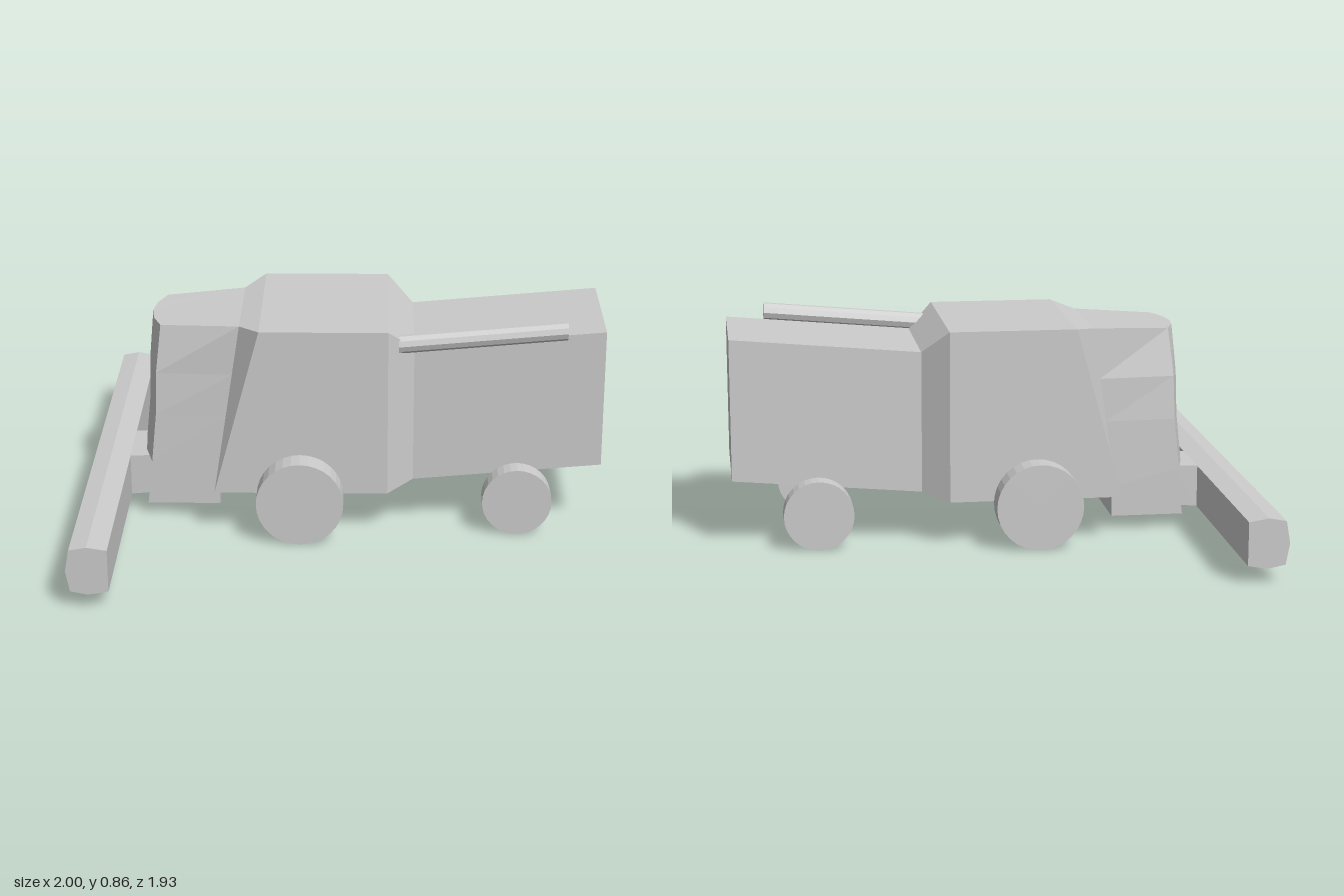
import * as THREE from 'three';

const material = new THREE.MeshStandardMaterial({ color: 0xcccccc, flatShading: true });

function add(group, name, geometry) {
  const mesh = new THREE.Mesh(geometry, material);
  mesh.name = name;
  group.add(mesh);
  return mesh;
}

// Joins closed rings of points with quads and caps both ends.
function loft(rings) {
  const n = rings[0].length;
  const last = (rings.length - 1) * n;
  const index = [];
  for (let r = 0; r < rings.length - 1; r++) {
    for (let j = 0; j < n; j++) {
      const a = r * n + j, b = r * n + (j + 1) % n;
      index.push(a, b, b + n, a, b + n, a + n);
    }
  }
  for (let j = 1; j < n - 1; j++) {
    index.push(0, j + 1, j, last, last + j, last + j + 1);
  }
  const geometry = new THREE.BufferGeometry();
  geometry.setAttribute('position', new THREE.Float32BufferAttribute(rings.flat(2), 3));
  geometry.setIndex(index);
  const flat = geometry.toNonIndexed();
  flat.computeVertexNormals();
  return flat;
}

// Side profile swept across the width, centred on z = 0.
function sweep(points, halfWidth) {
  const shape = new THREE.Shape(points.map(([x, y]) => new THREE.Vector2(x, y)));
  return new THREE.ExtrudeGeometry(shape, { depth: halfWidth * 2, bevelEnabled: false })
    .translate(0, 0, -halfWidth);
}

export function createModel() {
  const group = new THREE.Group();
  group.name = 'combineHarvester';

  // Body: stations from nose to tail [bottom x, bottom y, top x, top y, half width]
  const stations = [
    [-0.495, 0.19, -0.4, 0.82, 0.22],
    [-0.5, 0.175, -0.32, 0.84, 0.335],
    [0.17, 0.175, 0.17, 0.84, 0.335],
    [0.27, 0.2, 0.27, 0.75, 0.25],
    [1, 0.265, 1, 0.815, 0.25],
  ];
  add(group, 'body', loft(stations.map(([bx, by, tx, ty, w]) =>
    [[bx, by, w], [bx, by, -w], [tx, ty, -w], [tx, ty, w]])));

  // Cab: levels [rear x, rear y, corner x, corner y, corner half width, centre x, centre y]
  const levels = [
    [-0.495, 0.19, -0.75, 0.252, 0.215, -0.79, 0.26],
    [-0.455, 0.45, -0.73, 0.45, 0.212, -0.77, 0.45],
    [-0.43, 0.62, -0.725, 0.62, 0.2, -0.765, 0.62],
    [-0.4, 0.82, -0.705, 0.806, 0.17, -0.748, 0.804],
  ];
  add(group, 'cab', loft(levels.map(([rx, ry, kx, ky, w, cx, cy]) => {
    const mx = kx + (cx - kx) * 0.75, my = (ky + cy) / 2;
    return [[rx, ry, -0.22], [kx, ky, -w], [mx, my, -w / 2], [cx, cy, 0],
      [mx, my, w / 2], [kx, ky, w], [rx, ry, 0.22]];
  })));

  // Feeder, its neck and the wide header
  add(group, 'feederHousing',
    sweep([[-0.775, 0.055], [-0.49, 0.055], [-0.49, 0.19], [-0.75, 0.25]], 0.175));
  add(group, 'feederNeck',
    sweep([[-0.85, 0.07], [-0.74, 0.08], [-0.74, 0.24], [-0.85, 0.235]], 0.125));
  add(group, 'header', sweep([[-1, 0.15], [-0.985, 0.07], [-0.92, 0.057], [-0.845, 0.07],
    [-0.845, 0.235], [-0.92, 0.247], [-0.985, 0.235]], 0.967));

  // Wheels
  const wheels = [
    ['frontWheel', -0.167, 0.168, 0.335, 0.43],
    ['rearWheel', 0.673, 0.135, 0.25, 0.325],
  ];
  for (const [name, x, radius, inner, outer] of wheels) {
    for (const side of [-1, 1]) {
      const wheel = add(group, name + (side > 0 ? 'Far' : 'Near'),
        new THREE.CylinderGeometry(radius, radius, outer - inner, 32).rotateX(Math.PI / 2));
      wheel.position.set(x, radius, side * (inner + outer) / 2);
    }
  }

  // Unloading pipe along one upper edge, with upright ends
  const pipe = new THREE.CylinderGeometry(0.036, 0.036, 0.64, 10).rotateZ(-Math.PI / 2);
  pipe.applyMatrix4(new THREE.Matrix4().set(
    1, 0, 0, 0.53, 0.09, 1, 0, 0.8, 0, 0, 1, 0.272, 0, 0, 0, 1));
  pipe.computeVertexNormals();
  add(group, 'unloadingPipe', pipe);

  // Name the wheels by the side they sit on
  group.traverse((part) => {
    part.name = part.name.replace('Far', 'PositiveZ').replace('Near', 'NegativeZ');
  });
  return group;
}
